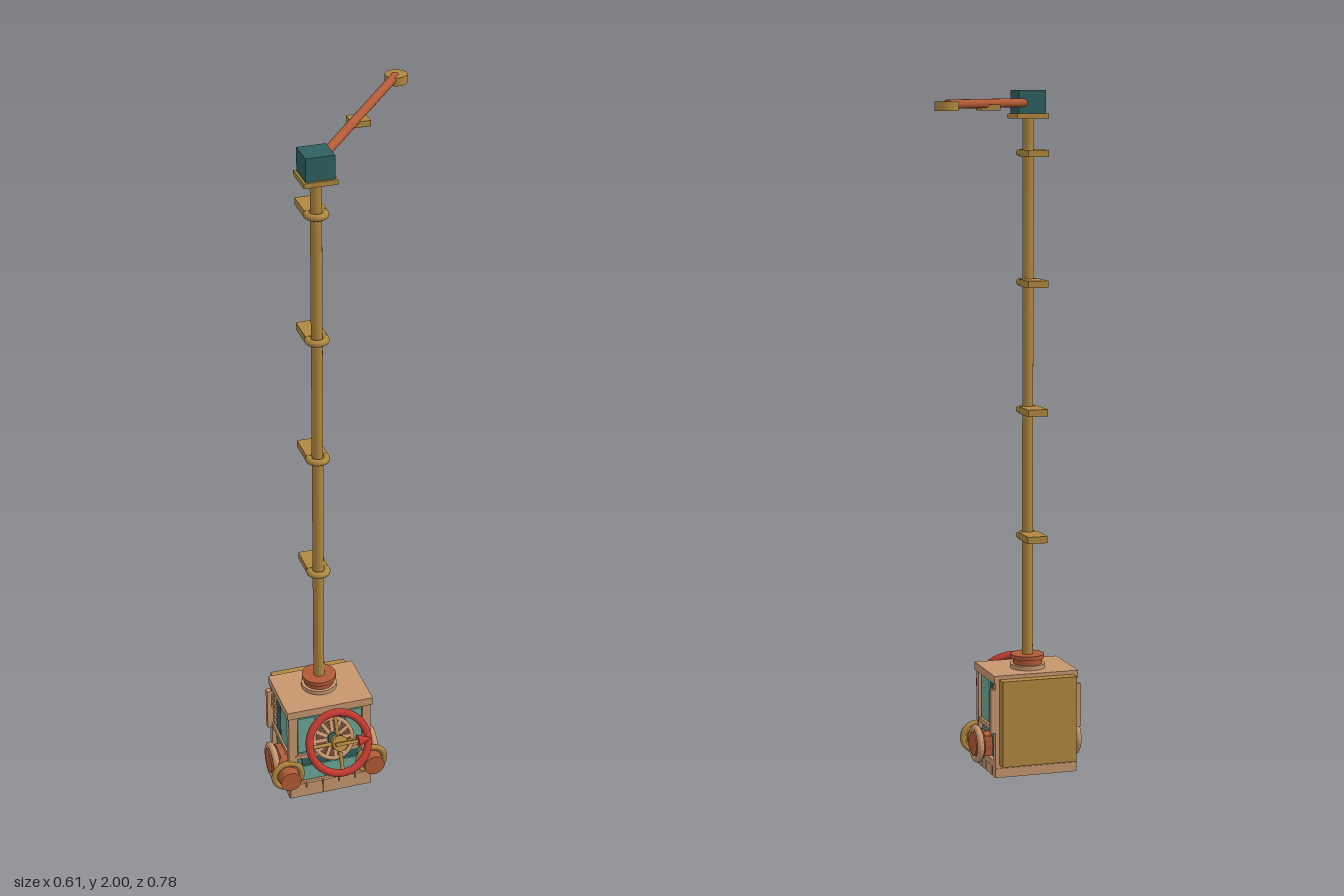
import * as THREE from 'three';

const mat = (name, color) => Object.assign(new THREE.MeshStandardMaterial({ color }), { name });
const peach = mat('peach panel', 0xc6966e);
const gold = mat('gold brass', 0xb0873f);
const orange = mat('burnt orange', 0xb25a36);
const red = mat('red', 0xc0392f);
const darkTeal = mat('dark teal', 0x2f5f60);
const teal = mat('teal', 0x4a8580);
const lightTeal = mat('light teal glass', 0x6aa898);
const brown = mat('dark brown', 0x6b4936);

export function createModel() {
  const root = new THREE.Group();
  root.name = 'steerableLampCart';

  const add = (name, geo, m, x, y, z, parent = root) => {
    const mesh = new THREE.Mesh(geo, m);
    mesh.name = name;
    mesh.position.set(x, y, z);
    parent.add(mesh);
    return mesh;
  };
  const box = (name, m, x, y, z, w, h, d, parent) =>
    add(name, new THREE.BoxGeometry(w, h, d), m, x, y, z, parent);
  const cyl = (name, m, x, y, z, r, h, axis = 'y', parent = root, r2 = r) => {
    const g = new THREE.CylinderGeometry(r2, r, h, 28);
    if (axis === 'x') g.rotateZ(-Math.PI / 2);
    if (axis === 'z') g.rotateX(Math.PI / 2);
    return add(name, g, m, x, y, z, parent);
  };

  const CX = -0.123, PZ = 0.146, BZ = 0.158;

  // Cabin: core, roof, floor and corner posts
  box('cabinCore', teal, CX, 0.16, BZ, 0.226, 0.26, 0.176);
  box('roof', peach, CX, 0.295, BZ, 0.259, 0.024, 0.196);
  box('sill', peach, CX, 0.038, BZ, 0.25, 0.02, 0.19);
  box('underside', brown, CX, 0.019, BZ, 0.24, 0.02, 0.18);
  for (let i = 0; i < 6; i++)
    box('floorPlank', peach, CX, 0.015, 0.075 + i * 0.0335, 0.252, 0.028, 0.03);
  for (let i = 0; i < 5; i++)
    box('frontBaseBlock', peach, CX - 0.1 + i * 0.05, 0.024, 0.254, 0.047, 0.046, 0.012);
  for (const s of [-1, 1]) {
    box('frontPost', peach, CX + s * 0.112, 0.165, 0.241, 0.026, 0.25, 0.022);
    box('rearPost', peach, CX + s * 0.114, 0.165, 0.072, 0.024, 0.25, 0.02);
    box('rearEar', peach, CX + s * 0.129, 0.2, 0.071, 0.02, 0.13, 0.017);
    // Side window, door strips and louvres
    box('sideWindow', lightTeal, CX + s * 0.115, 0.212, 0.185, 0.008, 0.13, 0.075);
    box('sidePanel', darkTeal, CX + s * 0.114, 0.205, 0.113, 0.006, 0.14, 0.05);
    box('sideRail', peach, CX + s * 0.114, 0.137, BZ, 0.018, 0.014, 0.16);
    for (let i = 0; i < 6; i++)
      box('sideLouvre', peach, CX + s * 0.118, 0.165 + i * 0.02, 0.093, 0.01, 0.012, 0.018);
    box('frontWindow', lightTeal, CX + s * 0.072, 0.215, 0.248, 0.05, 0.12, 0.006);
  }
  box('frontRail', peach, CX, 0.14, 0.246, 0.21, 0.012, 0.014);
  box('frontPanel', darkTeal, CX, 0.12, 0.248, 0.17, 0.028, 0.006);
  box('frontLowerPanel', lightTeal, CX, 0.077, 0.248, 0.18, 0.05, 0.006);
  box('backPlate', gold, CX, 0.168, 0.045, 0.228, 0.256, 0.034);

  // Headlamps and side wheels, mirrored
  for (const s of [-1, 1]) {
    const hx = CX + s * 0.128;
    cyl('headlamp', orange, hx, 0.08, 0.207, 0.031, 0.153, 'z');
    add('headlampRing', new THREE.TorusGeometry(0.042, 0.0085, 10, 28), gold, hx, 0.08, 0.248);
    cyl('headlampFlange', gold, hx, 0.08, 0.246, 0.042, 0.008, 'z');
    cyl('wheelHub', orange, CX + s * 0.137, 0.08, 0.165, 0.036, 0.053, 'x');
    const ring = add('wheelRing', new THREE.TorusGeometry(0.047, 0.01, 10, 32), peach, CX + s * 0.152, 0.08, 0.168);
    ring.rotation.y = Math.PI / 2;
    cyl('wheelDisc', brown, CX + s * 0.142, 0.08, 0.168, 0.046, 0.012, 'x');
  }

  // Tilted front dial and steering wheel share one axis
  const dial = new THREE.Group();
  dial.name = 'frontDial';
  dial.position.set(CX, 0.202, 0.268);
  dial.rotation.x = -0.485;
  root.add(dial);
  cyl('dialHousing', peach, 0, 0, -0.006, 0.05, 0.036, 'z', dial, 0.062);
  cyl('dialFace', brown, 0, 0, 0.013, 0.054, 0.004, 'z', dial);
  add('dialRim', new THREE.TorusGeometry(0.058, 0.007, 8, 32), peach, 0, 0, 0.013, dial);
  for (let i = 0; i < 6; i++)
    box('dialVane', peach, 0, 0, 0.016, 0.11, 0.009, 0.005, dial).rotation.z = (i * Math.PI) / 6;
  cyl('dialHub', darkTeal, 0, 0, 0.02, 0.018, 0.016, 'z', dial);
  cyl('steeringColumn', gold, 0, 0, 0.044, 0.007, 0.065, 'z', dial);

  const wheel = new THREE.Group();
  wheel.name = 'steeringWheel';
  wheel.position.set(CX, 0.2325, 0.337);
  wheel.rotation.x = -0.485;
  root.add(wheel);
  add('wheelRim', new THREE.TorusGeometry(0.088, 0.0115, 12, 48), red, 0, 0, 0, wheel);
  cyl('wheelCentre', gold, 0, 0, 0.002, 0.023, 0.03, 'z', wheel);
  cyl('wheelSpoke', gold, 0, 0, 0, 0.0055, 0.17, 'x', wheel);
  cyl('wheelSpoke', gold, 0, 0, 0, 0.0055, 0.17, 'y', wheel);
  box('pointerShaft', gold, 0.018, 0, 0.026, 0.07, 0.01, 0.01, wheel);
  cyl('pointerTip', red, 0.072, 0, 0.026, 0.018, 0.044, 'x', wheel, 0);

  // Mast with foot collars and step plates
  cyl('mastFoot', peach, CX, 0.313, PZ, 0.052, 0.014);
  cyl('mastCollar', orange, CX, 0.328, PZ, 0.043, 0.02);
  cyl('mastCap', orange, CX, 0.342, PZ, 0.05, 0.012);
  cyl('mast', gold, CX, 1.13, PZ, 0.016, 1.59);
  for (let i = 0; i < 4; i++) {
    const y = 0.705 + i * 0.372;
    const ring = add('stepCollar', new THREE.TorusGeometry(0.025, 0.01, 10, 28), gold, CX, y, PZ);
    ring.rotation.x = Math.PI / 2;
    box('stepPlate', gold, CX, y, 0.094, 0.06, 0.02, 0.088);
  }

  // Head block and boom
  box('headPlate', gold, CX, 1.926, PZ, 0.094, 0.014, 0.094);
  box('headBlock', darkTeal, CX, 1.9665, PZ, 0.081, 0.067, 0.081);
  const a = new THREE.Vector3(CX, 1.964, PZ), b = new THREE.Vector3(0.27, 1.964, -0.365);
  const dir = b.clone().sub(a);
  const boom = cyl('boom', orange, 0, 0, 0, 0.0125, dir.length());
  boom.position.copy(a).lerp(b, 0.5);
  boom.quaternion.setFromUnitVectors(new THREE.Vector3(0, 1, 0), dir.normalize());
  box('boomBracket', gold, 0.08, 1.953, -0.117, 0.054, 0.017, 0.054);
  cyl('boomEndDisc', gold, 0.272, 1.959, -0.363, 0.032, 0.025);

  return root;
}
